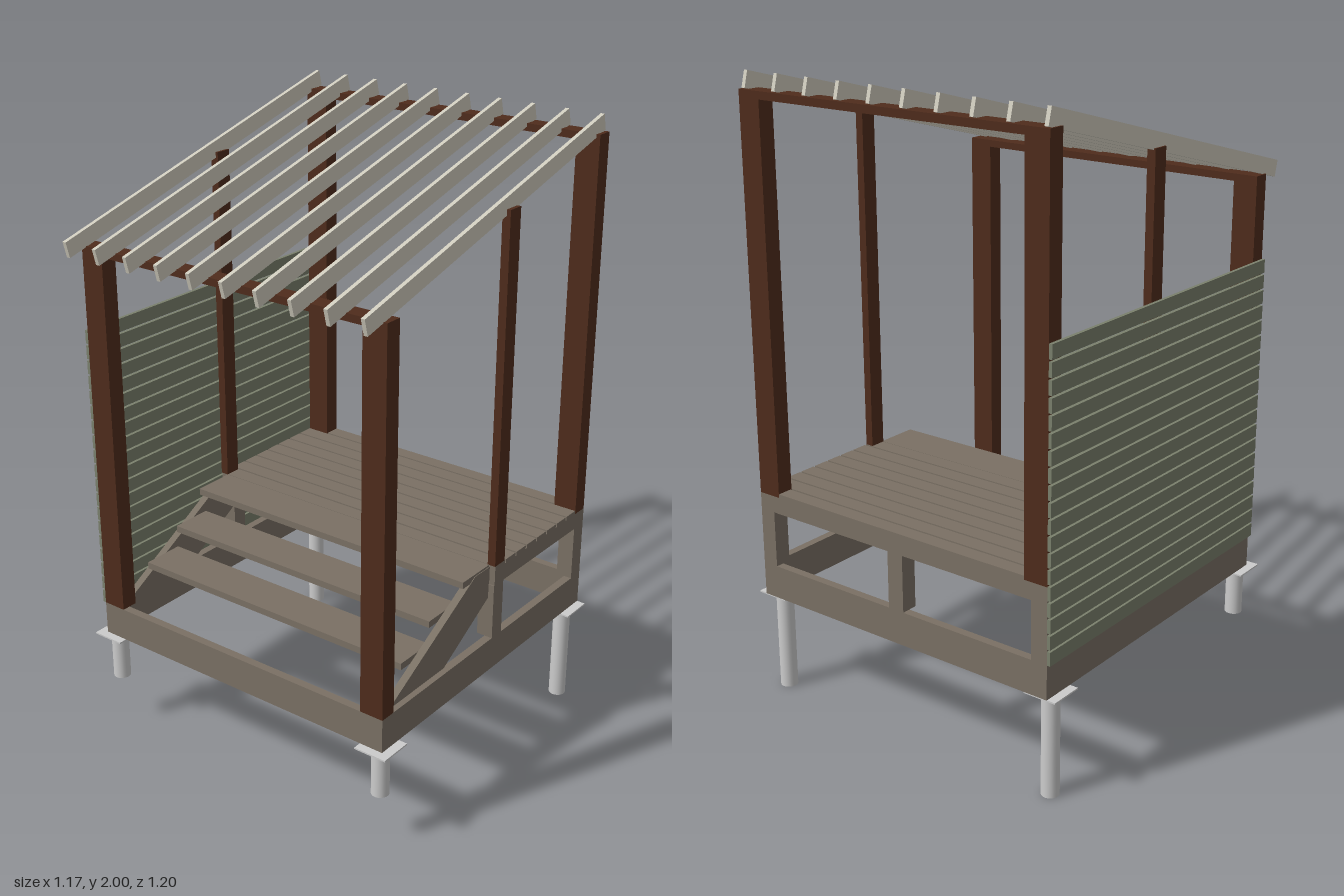
import * as THREE from 'three';

const mat = (color) => new THREE.MeshStandardMaterial({ color });

export function createModel() {
  const model = new THREE.Group();
  const taupe = mat(0x7a7064), brown = mat(0x4f2c1c), green = mat(0x7a806c);
  const pale = mat(0xd0ccbe), grey = mat(0xcccccc);

  // Box given by its minimum and maximum on each axis
  const box = (name, material, x0, x1, y0, y1, z0, z1) => {
    const m = new THREE.Mesh(new THREE.BoxGeometry(x1 - x0, y1 - y0, z1 - z0), material);
    m.position.set((x0 + x1) / 2, (y0 + y1) / 2, (z0 + z1) / 2);
    m.name = name;
    model.add(m);
    return m;
  };
  const L = -0.56, R = 0.555, F = 0.52, B = -0.6, T = 0.027;
  // Same box on both sides; a and b are distances in from the outer face
  const pair = (name, material, a, b, y0, y1, z0, z1) => {
    box(name, material, L + a, L + b, y0, y1, z0, z1);
    box(name, material, R - b, R - a, y0, y1, z0, z1);
  };

  // Round piers with square cap plates; the ground falls to the back
  for (const x of [-0.533, 0.53]) {
    for (const [z, y0] of [[0.492, 0.175], [-0.543, 0]]) {
      const h = 0.336 - y0;
      const pier = new THREE.Mesh(new THREE.CylinderGeometry(0.028, 0.028, h, 24), grey);
      pier.position.set(x, y0 + h / 2, z);
      pier.name = 'pier';
      model.add(pier);
      box('pierPlate', grey, x - 0.055, x + 0.055, 0.335, 0.34, z - 0.055, z + 0.055);
    }
  }

  // Base frame: two stacked courses with alternating corner laps
  pair('lowerSideBeam', taupe, 0, T, 0.34, 0.395, B, F);
  box('lowerFrontBeam', taupe, L + T, R - T, 0.34, 0.395, F - T, F);
  box('lowerBackBeam', taupe, L + T, R - T, 0.34, 0.395, B, B + T);
  pair('upperSideBeam', taupe, 0, T, 0.395, 0.45, B + T, F - T);
  box('upperFrontBeam', taupe, L, R, 0.395, 0.45, F - T, F);
  box('upperBackBeam', taupe, L, R, 0.395, 0.45, B, B + T);

  // Deck supports and joists
  pair('deckBackPost', taupe, 0, 0.055, 0.45, 0.69, B, B + 0.055);
  pair('deckFrontPost', taupe, 0, 0.055, 0.45, 0.635, -0.11, -0.057);
  box('deckCentrePost', taupe, -0.03, 0.027, 0.45, 0.635, B, B + 0.055);
  pair('deckSideJoist', taupe, 0, T, 0.635, 0.69, B + 0.055, -0.06);
  box('deckCentreJoist', taupe, -0.03, 0.027, 0.635, 0.69, B + T, -0.06 - T);
  box('deckFrontRim', taupe, L + T, R - T, 0.635, 0.69, -0.06 - T, -0.06);
  box('deckBackRim', taupe, L + 0.055, R - 0.055, 0.635, 0.69, B, B + T);

  // Deck boards with open gaps
  for (let i = 0; i < 9; i++) {
    const z = -0.06 - i * 0.0613;
    const inset = i === 8 ? 0.08 : 0;
    box('deckBoard', taupe, L + inset, R - inset, 0.69, 0.702, Math.max(z - 0.054, B), z);
  }

  // Steps on two sloping stringers
  const profile = new THREE.Shape([[0.46, 0.45], [0.02, 0.695], [-0.06, 0.695], [-0.06, 0.59], [0.18, 0.45]]
    .map(([z, y]) => new THREE.Vector2(z, y)));
  const stringerGeo = new THREE.ExtrudeGeometry(profile, { depth: 0.025, bevelEnabled: false });
  stringerGeo.rotateY(-Math.PI / 2);
  for (const x of [-0.51, 0.535]) {
    const stringer = new THREE.Mesh(stringerGeo, taupe);
    stringer.position.x = x;
    stringer.name = 'stringer';
    model.add(stringer);
  }
  for (let i = 0; i < 3; i++) {
    const z = -0.058 + i * 0.142, y = 0.702 - i * 0.0765, w = i ? 0.51 : 0.533;
    box('stepTread', taupe, -w, w, y - 0.022, y, z, z + 0.143);
  }

  // Roof posts: three studs at each corner, a single stud midway
  const corner = (name, y0, yTop, z0, z1) => {
    pair(name + 'OuterStud', brown, 0, 0.0265, y0, yTop, z0, z1);
    pair(name + 'MiddleStud', brown, 0.0265, 0.053, y0, yTop, z0, z1);
    pair(name + 'InnerStud', brown, 0.053, 0.08, y0, yTop, z0, z1);
  };
  corner('frontPost', 0.45, 1.633, F - 0.055, F);
  corner('backPost', 0.69, 1.922, B, B + 0.055);
  pair('middlePost', brown, 0, T, 0.702, 1.825, -0.112, -0.058);
  box('frontTopPlate', brown, L, R, 1.633, 1.656, F - 0.055, F);
  box('backTopPlate', brown, L, R, 1.922, 1.946, B, B + 0.055);

  // Sloping rafters
  for (let i = 0; i < 10; i++) {
    const x = -0.548 + i * 0.1204;
    const rafter = box('rafter', pale, x - 0.0065, x + 0.0065, -0.026, 0.026, -0.6135, 0.6135);
    rafter.position.set(x, 1.818, 0);
    rafter.rotation.x = 0.259;
  }

  // Slatted side wall
  for (let i = 0; i < 19; i++) {
    const y = 0.45 + i * 0.0497;
    box('wallSlat', green, L - 0.011, L, y, y + 0.043, B, F);
  }
  return model;
}
